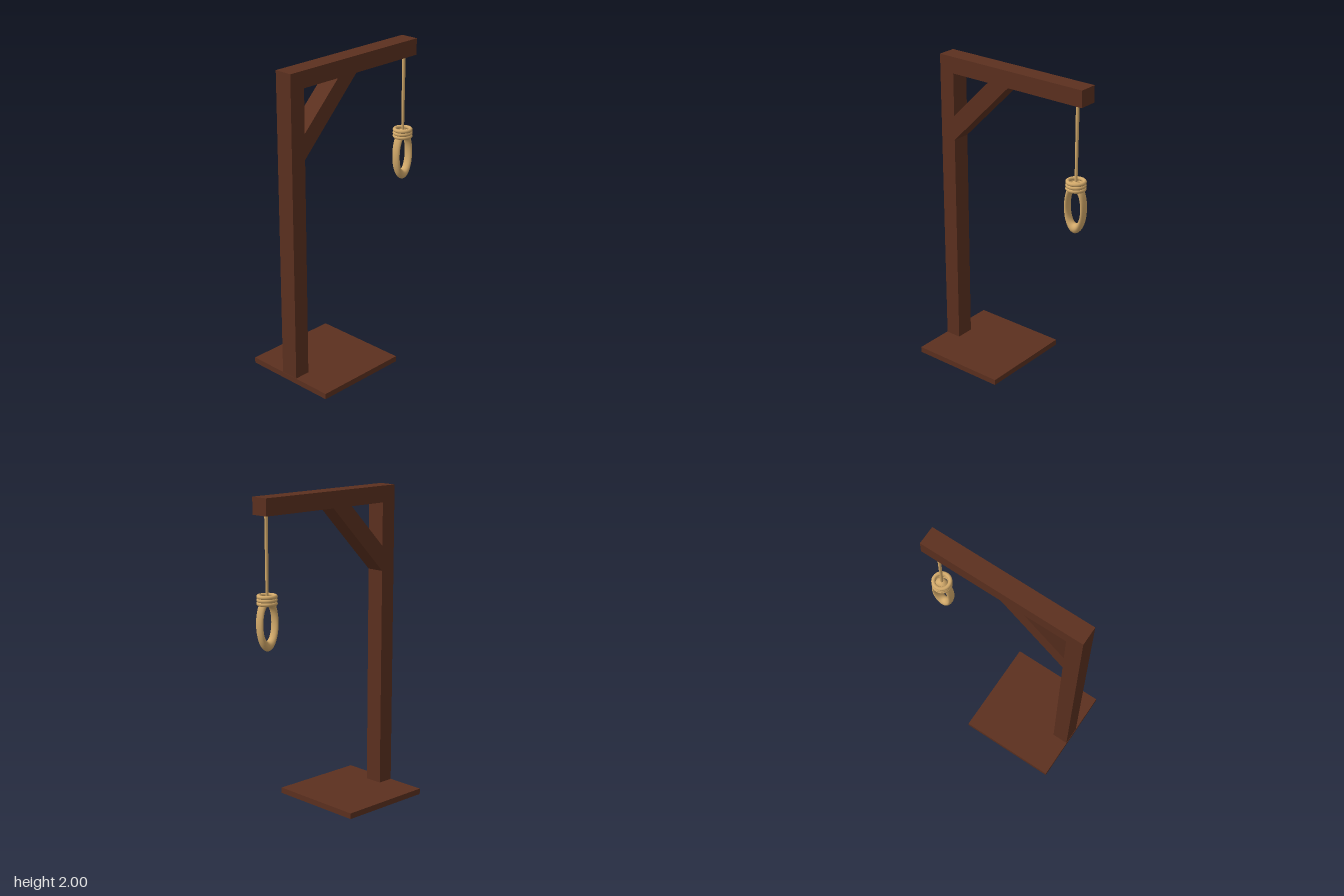
import * as THREE from 'three';

const wood = new THREE.MeshStandardMaterial({ color: 0x5c301f });
const rope = new THREE.MeshStandardMaterial({ color: 0xd2a96a });
const DEPTH = 0.12;

function add(parent, name, geometry, material, x, y, z) {
  const mesh = new THREE.Mesh(geometry, material);
  mesh.name = name;
  mesh.position.set(x, y, z);
  parent.add(mesh);
  return mesh;
}

// Box given by its limits in x and y and its depth about z = 0
function timber(parent, name, x0, x1, y0, y1, depth) {
  const geometry = new THREE.BoxGeometry(x1 - x0, y1 - y0, depth);
  return add(parent, name, geometry, wood, (x0 + x1) / 2, (y0 + y1) / 2, 0);
}

export function createModel() {
  const group = new THREE.Group();
  group.name = 'woodenFrameWithRope';

  // Timber frame
  timber(group, 'basePlate', -0.547, 0.092, 0, 0.037, 0.64);
  timber(group, 'post', -0.545, -0.44, 0.037, 1.895, DEPTH);
  timber(group, 'beam', -0.545, 0.53, 1.895, 2, DEPTH);

  // Diagonal brace, cut flush against post and beam
  const outline = new THREE.Shape([
    new THREE.Vector2(-0.44, 1.46),
    new THREE.Vector2(-0.01, 1.895),
    new THREE.Vector2(-0.165, 1.895),
    new THREE.Vector2(-0.44, 1.62),
  ]);
  const brace = new THREE.ExtrudeGeometry(outline, { depth: DEPTH, bevelEnabled: false });
  add(group, 'brace', brace, wood, 0, 0, -DEPTH / 2);

  // Hanging rope with its coil and oval loop
  const hanging = new THREE.Group();
  hanging.name = 'hangingRope';
  hanging.position.set(0.467, 0, 0.012);
  group.add(hanging);

  add(hanging, 'ropeLine', new THREE.CylinderGeometry(0.011, 0.009, 0.505, 16), rope, 0, 1.6475, 0);
  for (let i = 0; i < 3; i++) {
    const coil = add(hanging, 'coil', new THREE.TorusGeometry(0.051, 0.0125, 12, 40), rope, 0, 1.368 + i * 0.021, 0);
    coil.rotation.x = Math.PI / 2;
  }
  const loop = add(hanging, 'loop', new THREE.TorusGeometry(0.1375, 0.0315, 16, 48), rope, 0, 1.245, 0);
  loop.scale.set(0.435, 1, 0.93);

  return group;
}
